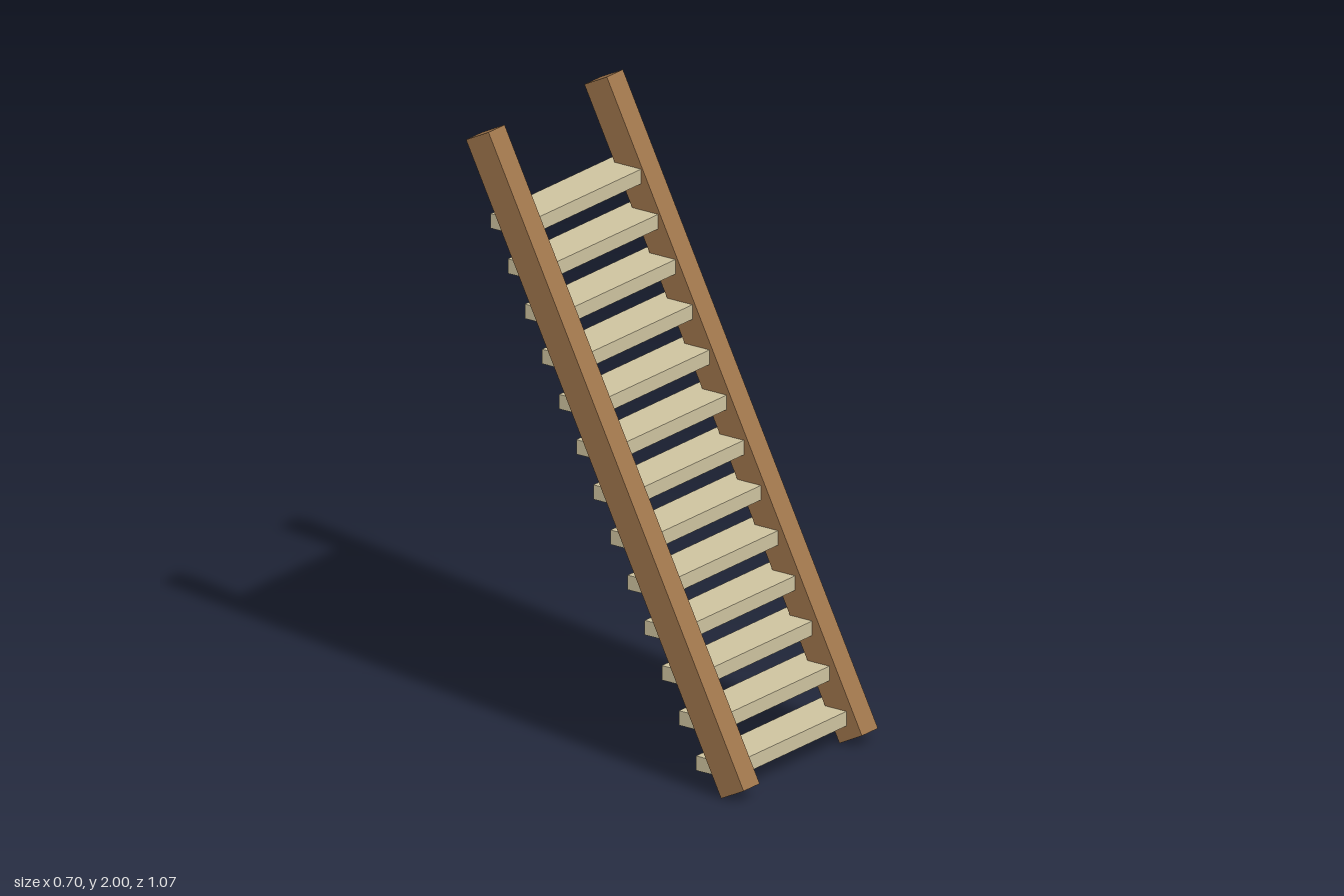
import * as THREE from 'three';

export function createModel() {
  const model = new THREE.Group();
  model.name = 'ladder';
  const railWood = new THREE.MeshStandardMaterial({ color: 0xa0764c, flatShading: true });
  const treadWood = new THREE.MeshStandardMaterial({ color: 0xcfc4a0, flatShading: true });

  // two square side rails leaning backward
  const railGeometry = new THREE.BoxGeometry(0.083, 2.19, 0.097);
  for (const side of [1, -1]) {
    const rail = new THREE.Mesh(railGeometry, railWood);
    rail.name = side > 0 ? 'leftRail' : 'rightRail';
    rail.position.set(side * 0.3065, 1, 0);
    rail.rotation.x = -0.466;
    model.add(rail);
  }

  // level treads, let into the rails and standing out behind them
  const treads = new THREE.Group();
  treads.name = 'treads';
  const treadGeometry = new THREE.BoxGeometry(0.66, 0.048, 0.137);
  const count = 13;
  for (let i = 0; i < count; i++) {
    const t = i / (count - 1);
    const tread = new THREE.Mesh(treadGeometry, treadWood);
    tread.name = `tread${i + 1}`;
    tread.position.set(0, 0.087 + t * 1.614, 0.407 - t * 0.792);
    treads.add(tread);
  }
  model.add(treads);
  return model;
}
